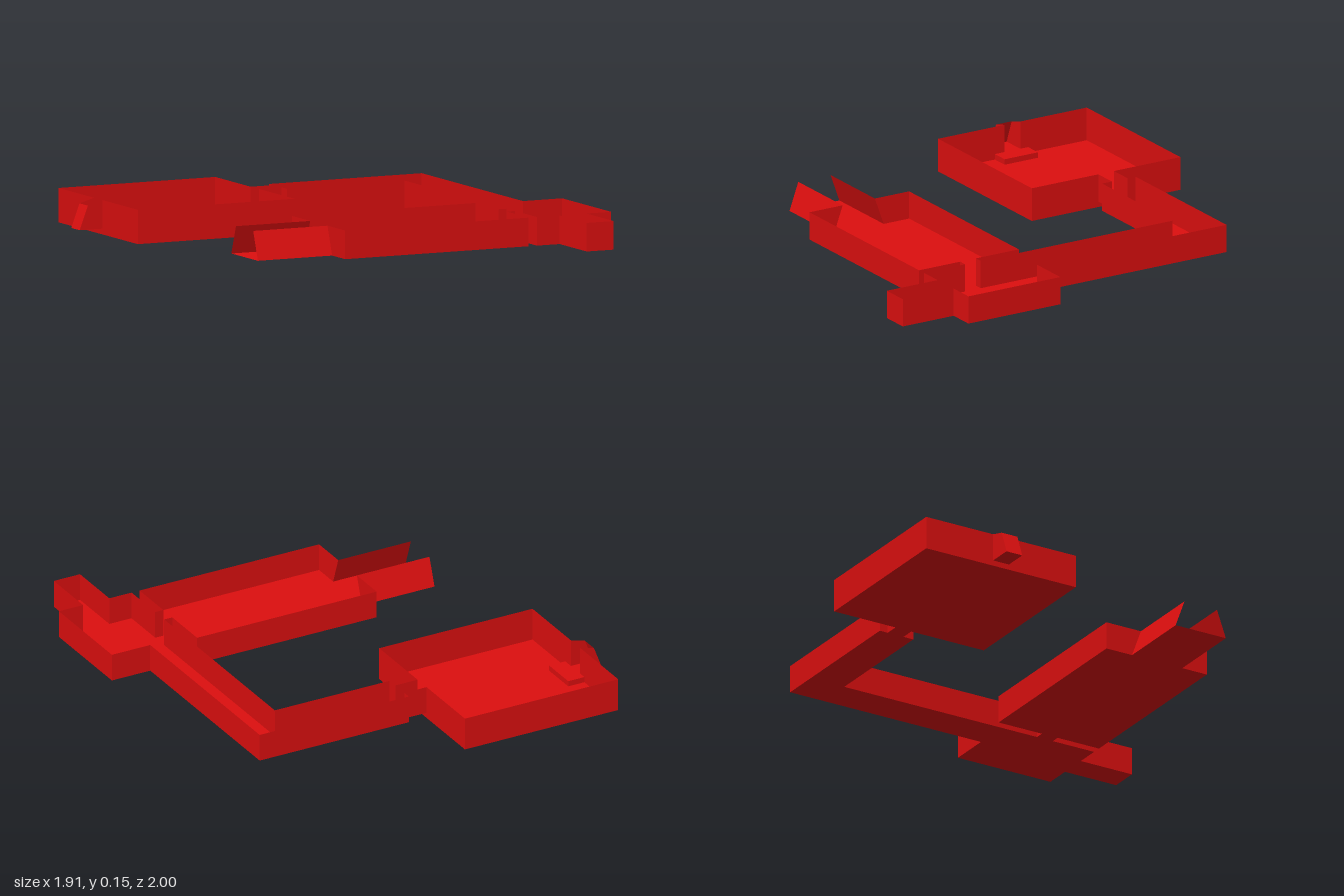
import * as THREE from 'three';

const BASE = 0.025, TOP = 0.15;

export function createModel() {
  const group = new THREE.Group();
  const red = new THREE.MeshStandardMaterial({ color: 0xdd0f0f, side: THREE.DoubleSide });
  red.name = 'red';

  const add = (name, geometry) => {
    const mesh = new THREE.Mesh(geometry, red);
    mesh.name = name;
    group.add(mesh);
    return mesh;
  };

  // One flat panel from corners given in order around its edge
  const panel = (name, corners) => {
    const g = new THREE.BufferGeometry().setFromPoints(corners.map(c => new THREE.Vector3(...c)));
    const index = [];
    for (let i = 1; i < corners.length - 1; i++) index.push(0, i, i + 1);
    g.setIndex(index);
    g.computeVertexNormals();
    return add(name, g);
  };

  // Flat rectangular floor
  const floor = (name, x0, x1, z0, z1, y = BASE) =>
    panel(name, [[x0, y, z0], [x0, y, z1], [x1, y, z1], [x1, y, z0]]);

  // Upright thin walls along a chain of [x, z] points
  const walls = (name, points, y0 = BASE, y1 = TOP) => {
    for (let i = 0; i < points.length - 1; i++) {
      const [ax, az] = points[i], [bx, bz] = points[i + 1];
      panel(name, [[ax, y0, az], [bx, y0, bz], [bx, y1, bz], [ax, y1, az]]);
    }
  };

  // Sunken square room with a doorway on either side
  floor('squareRoomFloor', -0.85, -0.09, -1, -0.24, 0);
  walls('squareRoomBackWall', [[-0.85, -0.66], [-0.85, -1], [-0.09, -1], [-0.09, -0.66]], 0);
  walls('squareRoomFrontWall', [[-0.85, -0.58], [-0.85, -0.24], [-0.09, -0.24], [-0.09, -0.58]], 0);
  for (const x of [-0.85, -0.09]) walls('doorSill', [[x, -0.66], [x, -0.58]], 0, BASE);
  const step = add('doorStep', new THREE.BoxGeometry(0.08, BASE, 0.17));
  step.position.set(-0.81, BASE / 2, -0.615);

  // Small alcove with a sloping end
  floor('alcoveFloor', -0.96, -0.85, -0.66, -0.58);
  for (const z of [-0.66, -0.58]) {
    panel('alcoveSide', [[-0.85, BASE, z], [-0.85, TOP, z], [-0.92, 0.13, z], [-0.96, BASE, z]]);
  }
  panel('alcoveEnd', [[-0.96, BASE, -0.66], [-0.96, BASE, -0.58], [-0.92, 0.13, -0.58], [-0.92, 0.13, -0.66]]);

  // Doorway, bent corridor and end room share continuous walls
  floor('squareRoomDoorway', -0.09, 0.02, -0.66, -0.58);
  floor('backCorridorFloor', 0.02, 0.76, -0.70, -0.53);
  floor('sideCorridorFloor', 0.59, 0.76, -0.53, 0.27);
  floor('endRoomFloor', 0.59, 0.95, 0.27, 0.74);
  floor('endNicheFloor', 0.70, 0.83, 0.74, 1);
  floor('longRoomDoorway', 0.55, 0.59, 0.45, 0.53);
  walls('corridorOuterWall', [[-0.09, -0.66], [0.02, -0.66], [0.02, -0.70], [0.76, -0.70],
    [0.76, 0.27], [0.95, 0.27], [0.95, 0.74], [0.83, 0.74], [0.83, 1], [0.70, 1],
    [0.70, 0.74], [0.59, 0.74], [0.59, 0.53], [0.55, 0.53]]);
  walls('corridorInnerWall', [[-0.09, -0.58], [0.02, -0.58], [0.02, -0.53], [0.59, -0.53],
    [0.59, 0.45], [0.55, 0.45]]);

  // Long room
  floor('longRoomFloor', -0.34, 0.55, 0.23, 0.74);
  walls('longRoomBackWall', [[-0.34, 0.23], [0.55, 0.23], [0.55, 0.45]]);
  walls('longRoomFrontWall', [[-0.34, 0.74], [0.55, 0.74], [0.55, 0.53]]);

  // Open passage with inward leaning walls, and the room wall beside it
  floor('passageFloor', -0.70, -0.34, 0.36, 0.615);
  for (const [low, high, corner] of [[0.36, 0.405, 0.23], [0.615, 0.57, 0.74]]) {
    panel('passageWall', [[-0.70, BASE, low], [-0.34, BASE, low], [-0.34, TOP, high], [-0.70, TOP, high]]);
    panel('longRoomEndWall', [[-0.34, BASE, corner], [-0.34, BASE, low], [-0.34, TOP, high], [-0.34, TOP, corner]]);
  }

  return group;
}
